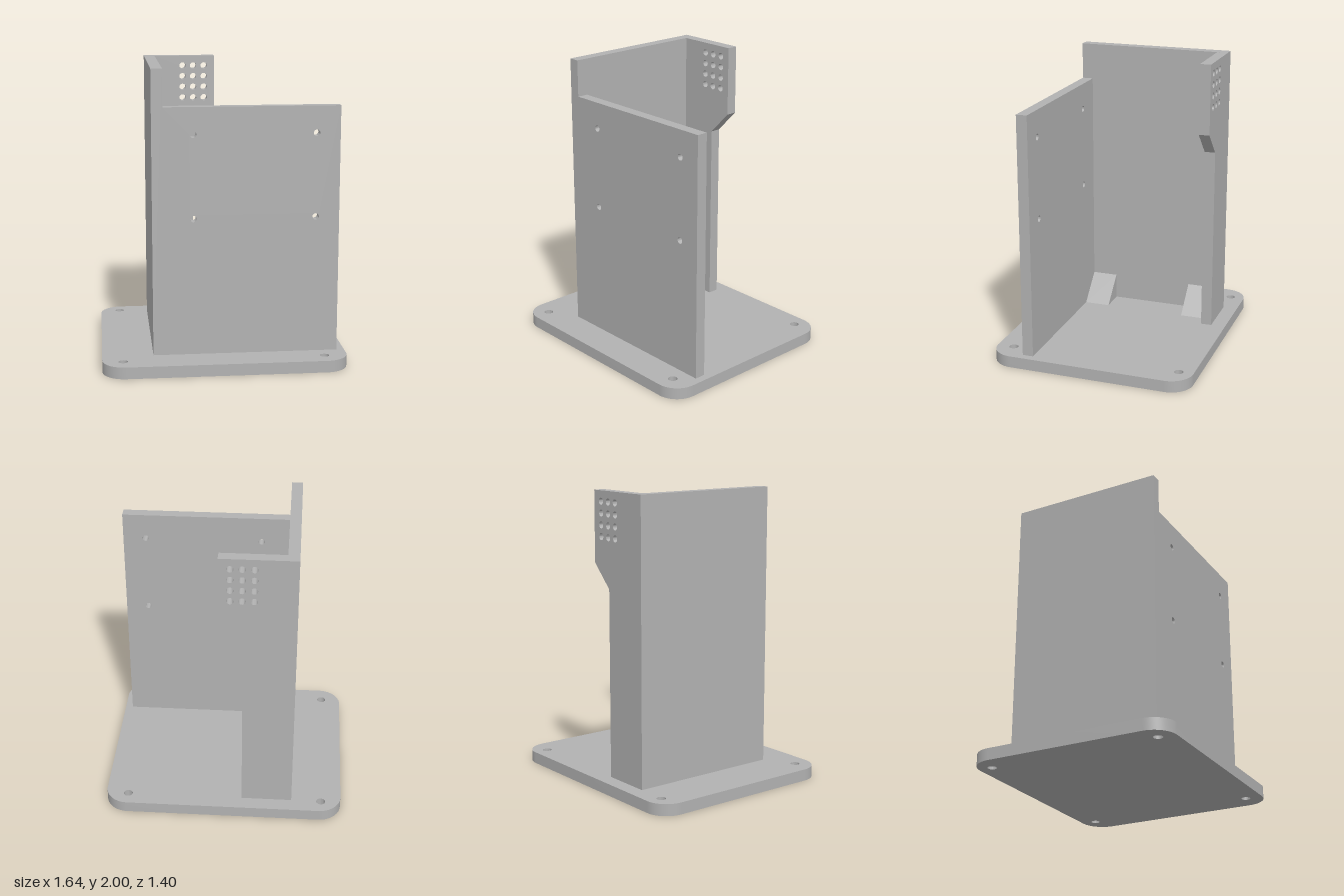
import * as THREE from 'three';
import { toCreasedNormals } from 'three/addons/utils/BufferGeometryUtils.js';

const BASE_TOP = 0.08;

// Closed outline with round through-holes
function plate(shape, holes, radius, depth) {
  for (const [x, y] of holes) {
    shape.holes.push(new THREE.Path().absarc(x, y, radius, 0, Math.PI * 2, true));
  }
  return new THREE.ExtrudeGeometry(shape, { depth, bevelEnabled: false, curveSegments: 12 });
}

const outline = (points) => new THREE.Shape(points.map(([x, y]) => new THREE.Vector2(x, y)));

const grid = (xs, ys) => xs.flatMap((x) => ys.map((y) => [x, y]));

function roundedRect(w, h, r) {
  const s = new THREE.Shape();
  s.absarc(w - r, h - r, r, 0, Math.PI / 2, false);
  s.absarc(-w + r, h - r, r, Math.PI / 2, Math.PI, false);
  s.absarc(-w + r, -h + r, r, Math.PI, Math.PI * 1.5, false);
  s.absarc(w - r, -h + r, r, Math.PI * 1.5, Math.PI * 2, false);
  s.closePath();
  return s;
}

export function createModel() {
  const model = new THREE.Group();
  model.name = 'mountingStand';
  const grey = new THREE.MeshStandardMaterial({ color: 0xb2b2b2 });
  grey.name = 'grey';

  const add = (name, geometry, z = 0) => {
    const mesh = new THREE.Mesh(toCreasedNormals(geometry, 0.6), grey);
    mesh.name = name;
    mesh.position.z = z;
    model.add(mesh);
  };

  // Rounded base plate with four screw holes (outline y becomes -z)
  const base = plate(roundedRect(0.82, 0.7, 0.155), grid([-0.682, 0.666], [0.6, -0.583]), 0.031, BASE_TOP);
  add('basePlate', base.rotateX(-Math.PI / 2));

  // Tall side wall joining the front and back panels
  const wall = new THREE.BoxGeometry(0.075, 2 - BASE_TOP, 1.07);
  add('sideWall', wall.translate(-0.4395, (2 + BASE_TOP) / 2, -0.064));

  // Front panel with four mounting holes
  const front = outline([[-0.402, BASE_TOP], [0.768, BASE_TOP], [0.768, 1.75], [-0.402, 1.75]]);
  add('frontPanel', plate(front, grid([-0.205, 0.61], [1.01, 1.57]), 0.022, 0.075), 0.396);

  // Back panel: narrow column widening to a perforated head
  const back = outline([
    [-0.402, BASE_TOP], [-0.13, BASE_TOP], [-0.13, 1.36], [0.028, 1.52], [0.028, 2], [-0.402, 2],
  ]);
  const vents = grid([-0.201, -0.124, -0.047], [1.698, 1.775, 1.852, 1.929]);
  add('backPanel', plate(back, vents, 0.023, 0.075), -0.599);

  // Wedge braces at the foot of the side wall
  for (const [name, z] of [['frontBrace', 0.218], ['backBrace', -0.524]]) {
    const wedge = outline([[-0.402, BASE_TOP], [-0.225, BASE_TOP], [-0.402, 0.257]]);
    add(name, plate(wedge, [], 0, 0.178), z);
  }

  return model;
}
